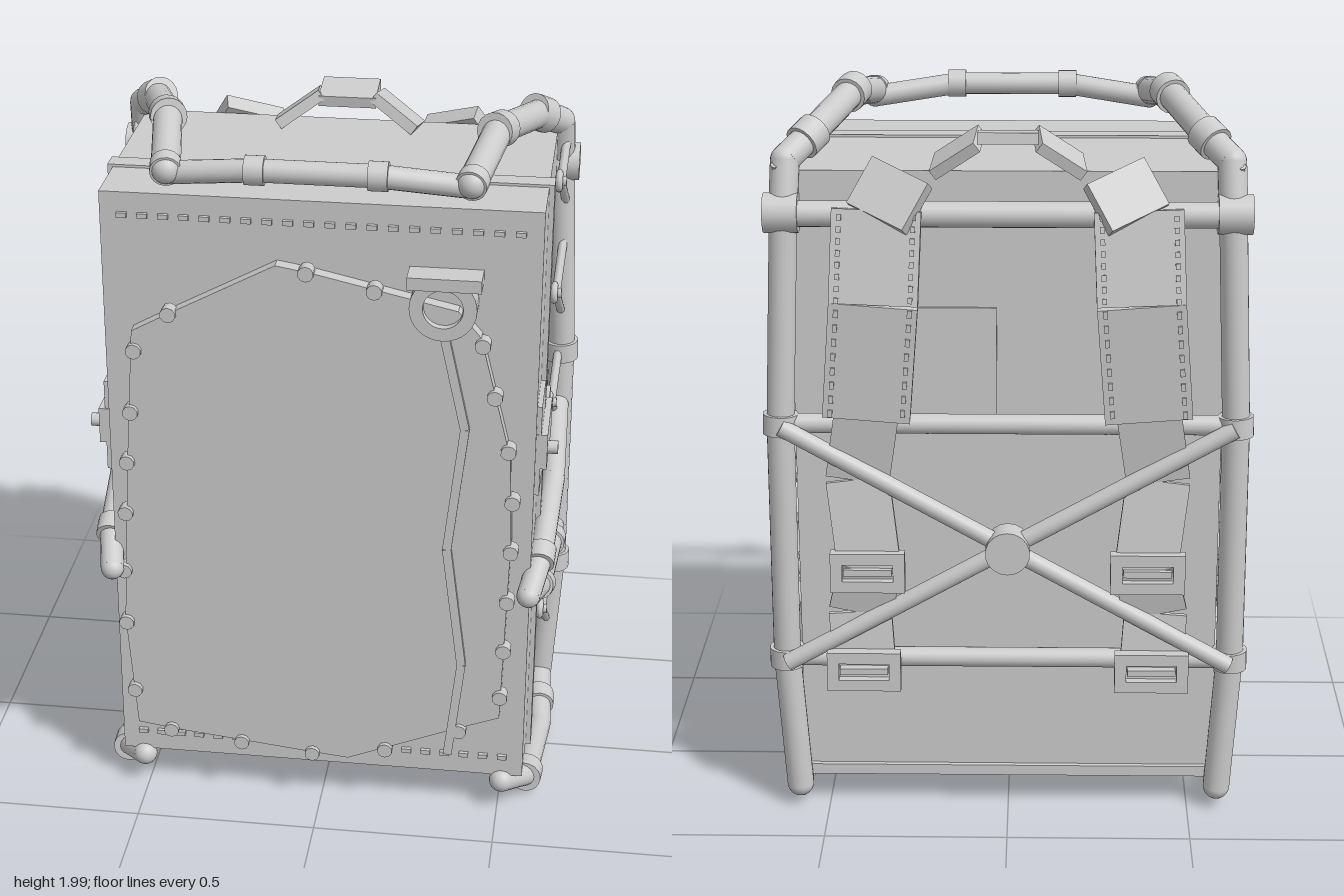
import * as THREE from 'three';

const V = (x, y, z) => new THREE.Vector3(x, y, z);

export function createModel() {
  const root = new THREE.Group();
  root.name = 'framedPack';
  const grey = new THREE.MeshStandardMaterial({ color: 0xcccccc });
  grey.name = 'plain grey';

  const add = (geo, name, x = 0, y = 0, z = 0, parent = root) => {
    const m = new THREE.Mesh(geo, grey);
    m.name = name;
    m.position.set(x, y, z);
    parent.add(m);
    return m;
  };
  // box given by its limits
  const block = (name, x0, x1, y0, y1, z0, z1) =>
    add(new THREE.BoxGeometry(Math.abs(x1 - x0), y1 - y0, z1 - z0), name, (x0 + x1) / 2, (y0 + y1) / 2, (z0 + z1) / 2);
  const group = (name) => {
    const g = new THREE.Group();
    g.name = name;
    root.add(g);
    return g;
  };
  // round bar between two points
  const bar = (a, b, r, name, parent = root, sides = 18) => {
    const d = b.clone().sub(a);
    const m = add(new THREE.CylinderGeometry(r, r, d.length(), sides), name, 0, 0, 0, parent);
    m.position.copy(a).lerp(b, 0.5);
    m.quaternion.setFromUnitVectors(V(0, 1, 0), d.normalize());
    return m;
  };
  // bent tube with round elbows
  const pipe = (pts, r, name) => {
    const g = group(name);
    pts.forEach((p, i) => {
      add(new THREE.SphereGeometry(r, 18, 12), 'elbow', p.x, p.y, p.z, g);
      if (i) bar(pts[i - 1], p, r, 'tube', g);
    });
  };
  // short sleeve around a tube running from a to b, at fraction t
  const collar = (a, b, t, r = 0.047, len = 0.055) => {
    const d = b.clone().sub(a).normalize().multiplyScalar(len / 2);
    const c = a.clone().lerp(b, t);
    bar(c.clone().sub(d), c.clone().add(d), r, 'collar');
  };
  // flat strip between two points; side gives the direction of its width
  const strip = (a, b, w, t, name, side = V(1, 0, 0), parent = root) => {
    const d = b.clone().sub(a);
    const m = add(new THREE.BoxGeometry(w, d.length(), t), name, 0, 0, 0, parent);
    d.normalize();
    const x = side.clone().addScaledVector(d, -side.dot(d)).normalize();
    m.quaternion.setFromRotationMatrix(new THREE.Matrix4().makeBasis(x, d, x.clone().cross(d)));
    m.position.copy(a).lerp(b, 0.5);
    return m;
  };

  // main case, band around it, back lip and back pocket
  block('case', -0.568, 0.568, 0.125, 1.825, -0.285, 0.335);
  block('caseBand', -0.582, 0.582, 0.118, 1.832, 0.108, 0.163);
  block('backLip', -0.565, 0.565, 0.1, 0.13, -0.3, -0.27);
  block('backPocket', 0.03, 0.33, 1.15, 1.46, -0.293, -0.28);

  // raised front panel
  const outline = [[-0.49, 1.455], [-0.39, 1.51], [-0.11, 1.66], [-0.02, 1.645], [0.36, 1.56], [0.42, 1.49], [0.505, 1.15],
    [0.515, 0.9], [0.5, 0.34], [0.36, 0.285], [0.08, 0.17], [-0.02, 0.18], [-0.42, 0.225], [-0.515, 0.24], [-0.54, 0.58], [-0.515, 1.07]];
  const panel = new THREE.Shape(outline.map(([x, y]) => new THREE.Vector2(x, y)));
  add(new THREE.ExtrudeGeometry(panel, { depth: 0.04, bevelEnabled: false }), 'frontPanel', 0, 0, 0.333);

  // studs along the panel edge
  const studs = [[-0.39, 1.51], [-0.03, 1.645], [0.145, 1.605], [0.425, 1.47], [0.46, 1.325], [0.5, 1.17], [0.515, 1.02], [0.515, 0.87],
    [0.51, 0.715], [0.505, 0.56], [0.5, 0.41], [0.39, 0.29], [0.185, 0.21], [-0.02, 0.18], [-0.22, 0.2], [-0.42, 0.225],
    [-0.52, 0.35], [-0.535, 0.57], [-0.535, 0.735], [-0.525, 0.915], [-0.515, 1.07], [-0.5, 1.22], [-0.485, 1.4]];
  const studGroup = group('panelStuds');
  studs.forEach(([x, y]) => {
    add(new THREE.CylinderGeometry(0.021, 0.021, 0.036, 10), 'stud', x, y, 0.368, studGroup).rotation.x = Math.PI / 2;
  });

  // stitch rows across the front
  const stitches = group('frontStitches');
  for (const y of [0.188, 1.765])
    for (let i = 0; i < 20; i++)
      add(new THREE.BoxGeometry(0.026, 0.013, 0.012), 'stitch', -0.51 + i * 1.02 / 19, y, 0.34, stitches);

  // front buckle and hanging cord
  block('buckleBar', 0.23, 0.42, 1.628, 1.662, 0.335, 0.41);
  const ring = new THREE.Shape();
  ring.absarc(0, 0, 0.087, 0, Math.PI * 2);
  ring.holes.push(new THREE.Path().absarc(0, 0, 0.052, 0, Math.PI * 2, true));
  add(new THREE.ExtrudeGeometry(ring, { depth: 0.06, bevelEnabled: false, curveSegments: 16 }), 'buckleRing', 0.322, 1.572, 0.335);
  const cord = [[0.325, 1.5], [0.385, 1.23], [0.345, 0.87], [0.392, 0.51], [0.36, 0.215]].map(([x, y]) => V(x, y, 0.374));
  for (let i = 1; i < cord.length; i++) strip(cord[i - 1], cord[i], 0.024, 0.024, 'hangingCord');

  // frame parts shared by both sides
  for (const s of [1, -1]) {
    const P = (x, y, z) => V(s * x, y, z);

    // upright rail
    const rail = [P(0.58, 1.72, -0.31), P(0.603, 1.15, -0.325), P(0.607, 0.47, -0.31), P(0.582, 0.075, -0.305)];
    pipe(rail, 0.037, 'sideRail');
    collar(rail[0], rail[1], 1, 0.047);
    collar(rail[1], rail[2], 1, 0.047);
    bar(P(0.54, 1.72, -0.315), P(0.63, 1.72, -0.315), 0.052, 'railCap');

    // top rail running forward
    const top = [rail[0], P(0.575, 1.85, -0.275), P(0.52, 1.895, -0.2), P(0.43, 1.952, 0.1), P(0.385, 1.905, 0.365)];
    pipe(top, 0.038, 'topRail');
    collar(top[1], top[2], 1, 0.048, 0.06);
    collar(top[2], top[3], 1, 0.048, 0.06);
    collar(top[3], top[4], 0.98, 0.041, 0.04);

    // lower rail running forward
    const low = [rail[3], P(0.597, 0.047, -0.05), P(0.575, 0.07, 0.24), P(0.51, 0.105, 0.33)];
    pipe(low, 0.034, 'lowerRail');
    collar(low[0], low[1], 0.55, 0.043);
    collar(low[1], low[2], 0.98, 0.045);

    // side guard
    const guard = [P(0.6, 0.985, -0.29), P(0.607, 0.9, 0), P(0.592, 0.805, 0.27), P(0.567, 0.745, 0.385),
      P(0.59, 0.665, 0.18), P(0.605, 0.62, -0.15), P(0.605, 0.59, -0.28)];
    pipe(guard, 0.032, 'sideGuard');
    collar(guard[1], guard[2], 1, 0.039);
    collar(guard[3], guard[4], 1, 0.04);
    collar(guard[4], guard[5], 1, 0.04);

    // lacing from case to rail
    for (const y of [1.705, 1.375, 1.037, 0.698, 0.355]) {
      const knot = add(new THREE.TorusGeometry(0.022, 0.01, 8, 14), 'lacingRing', s * 0.58, y, -0.2);
      knot.rotation.y = Math.PI / 2;
      bar(P(0.56, y, -0.2), P(0.6, y, -0.2), 0.014, 'lacingPin', root, 8);
      bar(P(0.585, y, -0.2), P(0.597, y + 0.14, -0.305), 0.012, 'lacing', root, 8);
      bar(P(0.585, y, -0.2), P(0.597, y - 0.09, -0.29), 0.012, 'lacing', root, 8);
    }

    // side latch
    block('latchPlate', s * 0.56, s * 0.581, 1.02, 1.28, 0.165, 0.325);
    block('latchArm', s * 0.56, s * 0.598, 1.1, 1.2, 0.1, 0.327);
    block('latchTongue', s * 0.56, s * 0.588, 1.122, 1.173, -0.03, 0.1);
    bar(P(0.58, 1.15, 0.293), P(0.625, 1.15, 0.293), 0.018, 'latchButton', root, 12);

    // shoulder pad with edge stitches
    const pad = [P(0.335, 1.74, -0.36), P(0.345, 1.5, -0.402), P(0.37, 1.185, -0.385)];
    for (let i = 1; i < pad.length; i++) {
      const a = pad[i - 1], b = pad[i];
      strip(a, b, 0.23, 0.035, 'shoulderPad');
      const n = 8;
      for (const e of [-0.095, 0.095])
        for (let k = 0; k < n; k++) {
          const p = a.clone().lerp(b, (k + 0.25) / n), q = a.clone().lerp(b, (k + 0.75) / n);
          const off = V(e, 0, -0.019);
          strip(p.add(off), q.add(off), 0.012, 0.009, 'padStitch');
        }
    }
    // strap folded over the top bar
    strip(P(0.335, 1.72, -0.375), P(0.27, 1.83, -0.325), 0.17, 0.045, 'strapFold', V(1, 0, s * 0.25));

    // lower strap and its buckles
    const strap = [P(0.37, 1.2, -0.37), P(0.4, 1.0, -0.345), P(0.37, 0.75, -0.375), P(0.4, 0.62, -0.35), P(0.385, 0.4, -0.372)];
    for (let i = 1; i < strap.length; i++) strip(strap[i - 1], strap[i], 0.17, 0.018, 'lowerStrap');
    for (const [x, y] of [[0.375, 0.75], [0.39, 0.46]]) {
      const b = group('strapBuckle');
      for (const k of [-1, 1]) {
        add(new THREE.BoxGeometry(0.2, 0.032, 0.032), 'buckleRail', 0, k * 0.04, 0, b);
        add(new THREE.BoxGeometry(0.032, 0.08, 0.032), 'buckleEnd', k * 0.084, 0, 0, b);
      }
      add(new THREE.BoxGeometry(0.13, 0.018, 0.026), 'buckleTongue', 0, 0, 0, b);
      b.position.set(s * x, y, -0.385);
    }

    // sloping end of the carry handle
    strip(P(0.075, 1.905, -0.262), P(0.19, 1.825, -0.235), 0.115, 0.03, 'handleEnd', V(s * 0.2, 0, 1));

    // diagonal brace
    bar(P(0.6, 1.15, -0.36), P(-0.6, 0.47, -0.36), 0.024, 'crossBrace');
  }

  // cross members between the rails
  bar(V(-0.58, 1.72, -0.325), V(0.58, 1.72, -0.325), 0.034, 'topCrossbar');
  bar(V(-0.6, 1.15, -0.325), V(0.6, 1.15, -0.325), 0.027, 'middleCrossbar');
  bar(V(-0.605, 0.47, -0.315), V(0.605, 0.47, -0.315), 0.027, 'lowerCrossbar');
  bar(V(0, 0.81, -0.33), V(0, 0.81, -0.405), 0.06, 'braceHub');

  // front bar of the top rail
  const front = [V(-0.385, 1.89, 0.35), V(-0.155, 1.92, 0.385), V(0.155, 1.92, 0.385), V(0.385, 1.89, 0.35)];
  pipe(front, 0.03, 'frontTopBar');
  collar(front[1], front[2], 0, 0.038, 0.05);
  collar(front[1], front[2], 1, 0.038, 0.05);

  // middle of the carry handle
  strip(V(-0.078, 1.908, -0.262), V(0.078, 1.908, -0.262), 0.115, 0.03, 'handleTop', V(0, 0.15, -1));

  return root;
}
